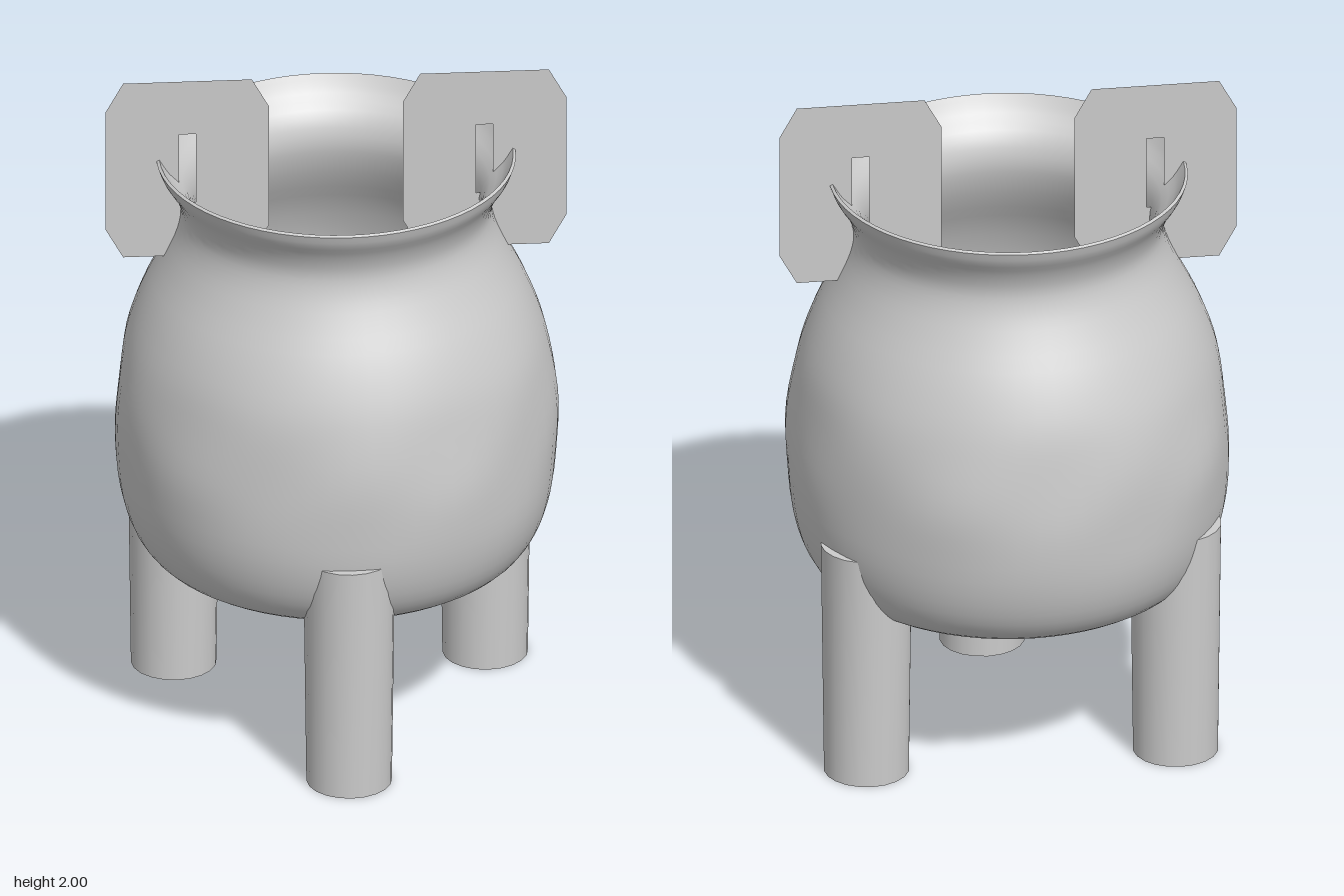
import * as THREE from 'three';
import { mergeVertices, toCreasedNormals } from 'three/addons/utils/BufferGeometryUtils.js';

const material = new THREE.MeshStandardMaterial({ color: 0xcccccc, side: THREE.DoubleSide });

function addMesh(group, name, geometry) {
  const mesh = new THREE.Mesh(geometry, material);
  mesh.name = name;
  group.add(mesh);
  return mesh;
}

// Smooth profile through a few [radius, height] points
function smoothProfile(points, divisions) {
  const curve = new THREE.CatmullRomCurve3(points.map(([r, y]) => new THREE.Vector3(r, y, 0)), false, 'centripetal');
  return curve.getPoints(divisions).map((p) => new THREE.Vector2(Math.max(p.x, 0), p.y));
}

// Hollow pot with flared rim; the belly is slightly dented, as if hammered by hand
function potGeometry() {
  const outer = smoothProfile([
    [0, 0.46], [0.3, 0.467], [0.45, 0.487], [0.535, 0.525], [0.585, 0.59], [0.62, 0.7],
    [0.634, 0.84], [0.634, 0.96], [0.618, 1.1], [0.595, 1.21], [0.55, 1.33], [0.49, 1.45],
    [0.456, 1.53], [0.447, 1.59], [0.468, 1.655], [0.503, 1.71], [0.516, 1.745],
  ], 48);
  const inner = smoothProfile([
    [0.508, 1.75], [0.48, 1.705], [0.43, 1.65], [0.41, 1.58], [0.422, 1.51], [0.455, 1.43],
    [0.515, 1.32], [0.56, 1.2], [0.585, 1.08], [0.6, 0.9], [0.585, 0.72], [0.545, 0.6],
    [0.48, 0.54], [0.3, 0.505], [0, 0.5],
  ], 40);
  let geometry = new THREE.LatheGeometry([...outer, ...inner], 64);
  const pos = geometry.attributes.position;
  for (let i = 0; i < pos.count; i++) {
    const x = pos.getX(i), y = pos.getY(i), z = pos.getZ(i);
    const a = Math.atan2(x, z);
    const belly = Math.exp(-(((y - 0.98) / 0.2) ** 2));
    const dent = 0.006 * Math.sin(5 * a + 7 * y) + 0.005 * Math.sin(9 * a - 11 * y) - 0.004 * Math.cos(a);
    const k = 1 + belly * dent;
    pos.setXYZ(i, x * k, y, z * k);
  }
  geometry.deleteAttribute('uv');
  geometry.deleteAttribute('normal');
  geometry = mergeVertices(geometry, 1e-4);
  return toCreasedNormals(geometry, 0.7);
}

// Flat chamfered plate with a narrow slot
function handleGeometry() {
  const [w, h, cx, cy] = [0.235, 0.28, 0.05, 0.09];
  const points = [
    [w, h - cy], [w - cx, h], [cx - w, h], [-w, h - cy],
    [-w, cy - h], [cx - w, -h], [w - cx, -h], [w, cy - h],
  ].map(([x, y]) => new THREE.Vector2(x, y));
  const shape = new THREE.Shape(points);
  const slot = [[-0.025, -0.11], [-0.025, 0.11], [0.025, 0.11], [0.025, -0.11]];
  shape.holes.push(new THREE.Path(slot.map(([x, y]) => new THREE.Vector2(x, y))));
  return new THREE.ShapeGeometry(shape);
}

export function createModel() {
  const group = new THREE.Group();
  group.name = 'threeLeggedPot';

  addMesh(group, 'pot', potGeometry());

  // Three legs, one at the front, widening slightly upwards into the belly
  const legGeometry = toCreasedNormals(new THREE.CylinderGeometry(0.132, 0.123, 0.725, 20), 0.6);
  ['frontLeg', 'backLeftLeg', 'backRightLeg'].forEach((name, i) => {
    const a = (i * Math.PI * 2) / 3;
    addMesh(group, name, legGeometry).position.set(0.517 * Math.sin(a), 0.3625, 0.517 * Math.cos(a));
  });

  // Handles crossing the rim on both sides
  const plate = handleGeometry();
  for (const side of [1, -1]) {
    addMesh(group, side > 0 ? 'leftHandle' : 'rightHandle', plate).position.set(0.427 * side, 1.72, 0);
  }
  return group;
}
